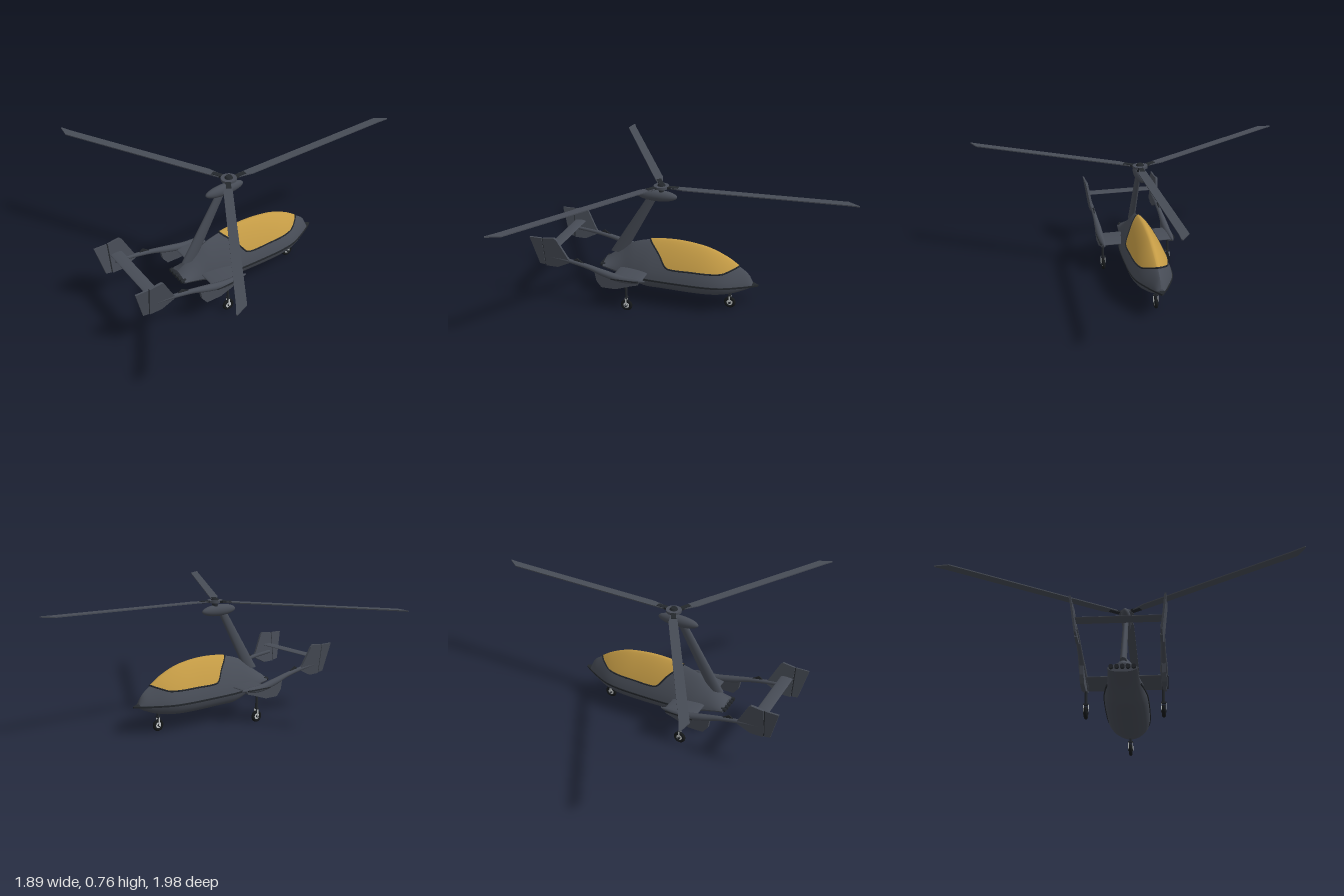
import * as THREE from 'three';

const material = (name, color, side = THREE.FrontSide) =>
  Object.assign(new THREE.MeshStandardMaterial({ color, side }), { name });

// Smooth curve through [x, value] keys
function curve(keys) {
  const slope = (i) => {
    const a = keys[Math.max(i - 1, 0)], b = keys[Math.min(i + 1, keys.length - 1)];
    return (b[1] - a[1]) / (b[0] - a[0]);
  };
  return (x) => {
    let i = 0;
    while (i < keys.length - 2 && x > keys[i + 1][0]) i++;
    const [x0, v0] = keys[i], [x1, v1] = keys[i + 1];
    const h = x1 - x0, t = THREE.MathUtils.clamp((x - x0) / h, 0, 1), t2 = t * t, t3 = t2 * t;
    return (2 * t3 - 3 * t2 + 1) * v0 + (t3 - 2 * t2 + t) * h * slope(i)
      + (3 * t2 - 2 * t3) * v1 + (t3 - t2) * h * slope(i + 1);
  };
}

// Skin over cross-sections ordered towards +x
function loft(sections, capped = true) {
  let rings = sections;
  if (capped) {
    const centre = (r) => {
      const c = r.reduce((s, p) => s.add(p), new THREE.Vector3()).divideScalar(r.length);
      return r.map(() => c);
    };
    const first = rings[0], last = rings[rings.length - 1];
    rings = [centre(first), first, ...rings, last, centre(last)];
  }
  const n = rings[0].length, index = [];
  for (let i = 0; i < rings.length - 1; i++) {
    if (capped && (i === 1 || i === rings.length - 3)) continue;
    for (let j = 0; j < n - 1; j++) {
      const a = i * n + j, b = a + n;
      index.push(a, b, a + 1, b, b + 1, a + 1);
    }
  }
  const g = new THREE.BufferGeometry().setFromPoints(rings.flat());
  g.setIndex(index);
  g.computeVertexNormals();
  return g;
}

// Flat plate from an x-y outline, centred on z
function plate(points, depth) {
  const shape = new THREE.Shape(points.map(([x, y]) => new THREE.Vector2(x, y)));
  return new THREE.ExtrudeGeometry(shape, { depth, bevelEnabled: false }).translate(0, 0, -depth / 2);
}

const range = (n, a, b) => Array.from({ length: n + 1 }, (_, i) => a + (b - a) * i / n);

export function createModel() {
  const model = new THREE.Group();
  const body = material('body grey', 0x474c56);
  const trim = material('dark trim', 0x23272c);
  const glass = material('amber glass', 0xc49b45);
  const rubber = material('tyre black', 0x15181a);
  const metal = material('light metal', 0xc4c8c8);

  const craft = new THREE.Group();
  craft.name = 'aircraft';
  craft.position.z = 0.018;
  model.add(craft);
  const add = (name, geometry, mat, parent = craft, x = 0, y = 0, z = 0) => {
    const mesh = new THREE.Mesh(geometry, mat);
    mesh.name = name;
    mesh.position.set(x, y, z);
    parent.add(mesh);
    return mesh;
  };

  // Fuselage profiles along x
  const top = curve([[-0.56, 0.235], [-0.5, 0.275], [-0.45, 0.31], [-0.38, 0.355], [-0.28, 0.385], [-0.2, 0.396],
    [-0.1, 0.4], [0, 0.392], [0.1, 0.372], [0.2, 0.33], [0.27, 0.285], [0.335, 0.235], [0.355, 0.19]]);
  const bottom = curve([[-0.56, 0.18], [-0.42, 0.14], [-0.31, 0.093], [-0.2, 0.09], [0.1, 0.09],
    [0.24, 0.112], [0.32, 0.143], [0.355, 0.162]]);
  const width = curve([[-0.56, 0.08], [-0.45, 0.087], [-0.35, 0.107], [-0.25, 0.121], [0, 0.125],
    [0.12, 0.119], [0.2, 0.102], [0.3, 0.055], [0.355, 0.024]]);
  const chine = curve([[-0.56, 0.205], [-0.42, 0.18], [-0.3, 0.173], [0.355, 0.173]]);
  const halfWidth = (x, t) => width(x) * Math.max(0, 1 - t ** 1.35) ** 0.78;

  // Fuselage: narrow rounded upper half over a shallow belly
  const upper = range(14, 0, 1).map((u) => 1 - (1 - u) ** 1.6);
  const lower = range(10, 0, Math.PI);
  add('fuselage', loft(range(60, -0.56, 0.355).map((x) => {
    const c = chine(x), h = top(x) - c, d = c - bottom(x);
    const side = (s) => upper.map((t) => new THREE.Vector3(x, c + h * t, s * halfWidth(x, t)));
    const belly = lower.map((a) => new THREE.Vector3(x, c - d * Math.sin(a) ** 0.9, -width(x) * Math.cos(a)));
    return [...side(-1).reverse(), ...belly, ...side(1)];
  })), body);

  // Canopy laid over the upper hull, with a dark frame along its edge
  const sill = curve([[-0.27, 0.383], [-0.2, 0.32], [-0.155, 0.262], [-0.12, 0.25], [0, 0.25],
    [0.18, 0.25], [0.23, 0.265], [0.272, 0.281]]);
  const skin = (x, y, s, lift) => {
    const c = chine(x), t = Math.min(1, (y - c) / (top(x) - c));
    return new THREE.Vector3(x, c + (top(x) - c) * t + lift * t, s * (halfWidth(x, t) + lift * (t < 1 ? 1 : 0)));
  };
  const canopyX = range(50, -0.27, 0.272);
  add('canopy', loft(canopyX.map((x) => {
    const y0 = Math.min(sill(x), top(x));
    const side = (s) => range(16, 0, 1).map((u) => skin(x, y0 + (top(x) - y0) * (1 - (1 - u) ** 1.6), s, 0.004));
    return [...side(1), ...side(-1).reverse().slice(1)];
  }), false), glass);
  const edge = (s) => canopyX.map((x) => skin(x, Math.min(sill(x), top(x)), s, 0.003));
  const framePath = new THREE.CatmullRomCurve3([...edge(1), ...edge(-1).reverse()], true);
  add('canopyFrame', new THREE.TubeGeometry(framePath, 160, 0.005, 6, true), trim);

  // Chine strip running out to a pointed nose
  const outline = range(24, -0.42, 0.34).map((x) => [x, width(x) + 0.004]);
  const strip = plate([...outline, [0.39, 0.004], [0.39, -0.004],
    ...outline.map(([x, z]) => [x, -z]).reverse()], 0.01).rotateX(-Math.PI / 2);
  add('chineStrip', strip, trim, craft, 0, 0.172, 0);
  add('noseTip', new THREE.ConeGeometry(0.025, 0.07, 16).rotateZ(-Math.PI / 2).scale(1, 0.6, 1),
    trim, craft, 0.355, 0.172, 0);

  // Engine exhausts in the tail
  for (const z of range(4, -0.06, 0.06))
    add('exhaust', new THREE.CylinderGeometry(0.012, 0.012, 0.03, 12).rotateZ(Math.PI / 2), trim, craft, -0.562, 0.207, z);

  // Raked rotor pylon, tapering upwards
  const pylon = new THREE.CylinderGeometry(1, 1, 1, 32, 1);
  const p = pylon.attributes.position;
  for (let i = 0; i < p.count; i++) {
    const k = p.getY(i) + 0.5, lerp = THREE.MathUtils.lerp;
    p.setXYZ(i, lerp(-0.482, -0.262, k) + p.getX(i) * lerp(0.048, 0.03, k), lerp(0.28, 0.65, k),
      p.getZ(i) * lerp(0.019, 0.015, k));
  }
  pylon.computeVertexNormals();
  add('rotorPylon', pylon, body);
  add('rotorPod', new THREE.SphereGeometry(1, 32, 16).scale(0.125, 0.035, 0.03), body, craft, -0.23, 0.672, 0);

  // Rotor head and three blades with raked tips
  const rotor = new THREE.Group();
  rotor.name = 'rotor';
  rotor.position.set(-0.2, 0, 0);
  craft.add(rotor);
  add('rotorMast', new THREE.CylinderGeometry(0.014, 0.02, 0.06, 16), trim, rotor, 0, 0.71, 0);
  add('rotorHub', new THREE.CylinderGeometry(0.045, 0.045, 0.014, 24), body, rotor, 0, 0.73, 0);
  add('hubCap', new THREE.CylinderGeometry(0.018, 0.025, 0.012, 16), trim, rotor, 0, 0.742, 0);
  for (let i = 0; i < 3; i++) {
    const arm = new THREE.Group();
    arm.name = 'rotorBlade';
    arm.rotation.set(0, i * Math.PI * 2 / 3, 0.022);
    arm.position.y = 0.73;
    rotor.add(arm);
    add('bladeCuff', new THREE.BoxGeometry(0.09, 0.012, 0.028), trim, arm, 0.06, 0, 0.006);
    add('blade', plate([[0.06, 0.012], [0.14, 0.014], [1.075, 0.014], [1.142, -0.036], [1.138, -0.041],
      [1.07, -0.037], [0.14, -0.037], [0.06, -0.02]], 0.006).rotateX(-Math.PI / 2), body, arm);
  }

  // Landing wheel with a fork, standing on the ground
  function wheel(name, x, z, legTop) {
    const g = new THREE.Group();
    g.name = name;
    g.position.set(x, 0.036, z);
    craft.add(g);
    add('tyre', new THREE.TorusGeometry(0.026, 0.01, 12, 28), rubber, g);
    add('rim', new THREE.CylinderGeometry(0.018, 0.018, 0.012, 20).rotateX(Math.PI / 2), metal, g);
    add('axle', new THREE.CylinderGeometry(0.008, 0.008, 0.03, 12).rotateX(Math.PI / 2), trim, g);
    for (const s of [-1, 1])
      add('fork', new THREE.BoxGeometry(0.01, 0.052, 0.004), metal, g, 0, 0.024, s * 0.013);
    const h = legTop - 0.08;
    add('leg', new THREE.CylinderGeometry(0.008, 0.008, h, 12), trim, g, 0, 0.044 + h / 2, 0);
    add('forkCrown', new THREE.BoxGeometry(0.014, 0.008, 0.03), trim, g, 0, 0.049, 0);
  }
  wheel('noseWheel', 0.22, 0, 0.13);

  // Booms, stub wings, fins and main wheels on both sides
  const boomY = curve([[-0.84, 0.295], [-0.72, 0.282], [-0.6, 0.26], [-0.5, 0.232], [-0.38, 0.207], [-0.24, 0.21]]);
  const boomR = curve([[-0.84, 0.011], [-0.6, 0.015], [-0.5, 0.021], [-0.4, 0.022], [-0.3, 0.017], [-0.24, 0.004]]);
  for (const s of [1, -1]) {
    const side = s > 0 ? 'right' : 'left';
    const zBoom = s * 0.217;
    add(side + 'Boom', loft(range(32, -0.84, -0.24).map((x) => range(16, 0, Math.PI * 2).map((a) =>
      new THREE.Vector3(x, boomY(x) + boomR(x) * Math.cos(a), -boomR(x) * 0.95 * Math.sin(a))))),
    body, craft, 0, 0, zBoom);
    add(side + 'BoomTrim', new THREE.BoxGeometry(0.17, 0.008, 0.042), trim, craft, -0.36, 0.208, zBoom);
    add(side + 'BoomSpike', plate([[-0.69, 0.285], [-0.6, 0.265], [-0.66, 0.305]], 0.006), trim, craft, 0, 0, zBoom);
    add(side + 'StubWing', new THREE.CylinderGeometry(1, 1, 0.16, 24).rotateX(Math.PI / 2).scale(0.095, 0.011, 1),
      body, craft, -0.355, 0.208, s * 0.14);
    add(side + 'GearFairing', plate([[-0.27, 0.2], [-0.28, 0.186], [-0.31, 0.178], [-0.42, 0.14], [-0.51, 0.14],
      [-0.54, 0.18], [-0.55, 0.24], [-0.48, 0.23], [-0.37, 0.212]], 0.022), body, craft, 0, 0, zBoom);

    // Outward-canted tail fin with a separate rudder
    const tail = new THREE.Group();
    tail.name = side + 'TailFin';
    tail.position.set(0, 0.29, s * 0.22);
    tail.rotation.x = s * 0.13;
    craft.add(tail);
    add('fin', plate([[-0.864, 0.42], [-0.79, 0.43], [-0.775, 0.415], [-0.72, 0.305], [-0.7, 0.275],
      [-0.79, 0.23], [-0.864, 0.23]], 0.014), body, tail, 0, -0.29, 0);
    add('rudder', plate([[-0.948, 0.42], [-0.871, 0.42], [-0.871, 0.235], [-0.905, 0.24]], 0.01), body, tail, 0, -0.29, 0);
    add('rudderHinge', new THREE.CylinderGeometry(0.004, 0.004, 0.18, 8), trim, tail, -0.867, 0.037, 0);
    wheel(side + 'MainWheel', -0.36, s * 0.21, 0.18);
  }
  add('tailplane', new THREE.CylinderGeometry(1, 1, 0.46, 24).rotateX(Math.PI / 2).scale(0.036, 0.006, 1),
    body, craft, -0.825, 0.345, 0);

  return model;
}
